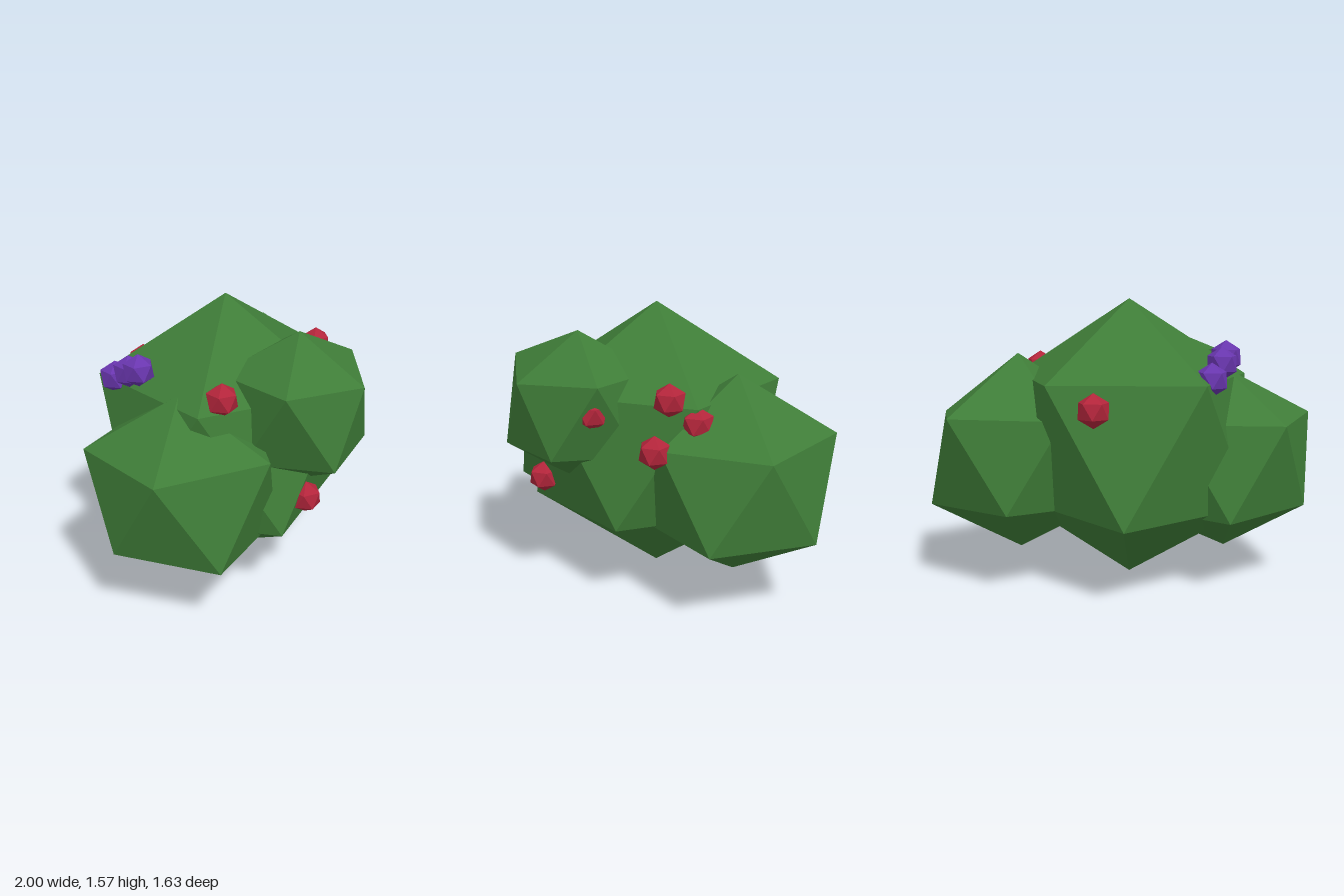
import * as THREE from 'three';

const leafGreen = new THREE.MeshStandardMaterial({ color: 0x3f7d38, flatShading: true });
leafGreen.name = 'leafGreen';
const berryRed = new THREE.MeshStandardMaterial({ color: 0xb3253b, flatShading: true });
berryRed.name = 'berryRed';
const berryPurple = new THREE.MeshStandardMaterial({ color: 0x6936ae, flatShading: true });
berryPurple.name = 'berryPurple';

// Upright icosahedron; scales = radial factor of top, upper ring, lower ring, bottom
function icoGeometry(radius, scales = []) {
  const points = [new THREE.Vector3(0, 1, 0)];
  for (const [start, y] of [[0, 1], [Math.PI / 5, -1]]) {
    for (let k = 0; k < 5; k++) {
      const a = start + k * Math.PI * 0.4;
      points.push(new THREE.Vector3(2 * Math.cos(a), y, 2 * Math.sin(a)).divideScalar(Math.sqrt(5)));
    }
  }
  points.push(new THREE.Vector3(0, -1, 0));
  points.forEach((p, i) => p.multiplyScalar(radius * (scales[i] ?? 1)));

  const faces = [];
  for (let k = 0; k < 5; k++) {
    const n = (k + 1) % 5;
    const u = 1 + k, uNext = 1 + n, l = 6 + k, lNext = 6 + n;
    faces.push(0, uNext, u, u, uNext, l, uNext, lNext, l, 11, l, lNext);
  }
  const geometry = new THREE.BufferGeometry().setFromPoints(faces.map((i) => points[i]));
  geometry.computeVertexNormals();
  return geometry;
}

export function createModel() {
  const group = new THREE.Group();
  const add = (name, geometry, material, position) => {
    const mesh = new THREE.Mesh(geometry, material);
    mesh.name = name;
    mesh.position.set(...position);
    group.add(mesh);
  };

  // Overlapping foliage lumps, each slightly irregular
  add('mainFoliage', icoGeometry(0.785, [1, 1, 1, 1, 1, 0.99, 0.94, 1.01, 1, 1.05, 0.92, 1]),
    leafGreen, [-0.03, 0.785, -0.05]);
  add('leftBackFoliage', icoGeometry(0.555, [1.045, 0.95, 1, 1, 1, 1.06, 1, 1, 1, 0.96, 1, 0.945]),
    leafGreen, [0.53, 0.69, -0.32]);
  add('rightFoliage', icoGeometry(0.57, [0.92, 1, 1.04, 1.02, 0.98, 1, 1, 1, 0.9, 1, 1, 0.88]),
    leafGreen, [-0.54, 0.655, 0.15]);
  add('frontFoliage', icoGeometry(0.455, [0.945, 1.07, 0.92, 1.18, 1.05, 1, 0.94, 1.01, 1, 1, 1, 0.95]),
    leafGreen, [0.06, 1.02, 0.42]);

  // Berries scattered over the foliage
  const berry = icoGeometry(0.09);
  const redSpots = [
    [-0.45, 1.2, 0.38], [-0.06, 0.595, 0.61], [0.58, 1.17, 0.07], [0.65, 0.925, 0.17],
    [-0.09, 1.02, -0.73], [0.64, 1.055, -0.06], [0.4, 1.08, 0.43],
  ];
  redSpots.forEach((p, i) => add(`redBerry${i + 1}`, berry, berryRed, p));
  const purpleSpots = [[-0.6, 1.26, -0.1], [-0.6, 1.23, -0.185], [-0.585, 1.155, -0.33]];
  purpleSpots.forEach((p, i) => add(`purpleBerry${i + 1}`, berry, berryPurple, p));

  return group;
}
